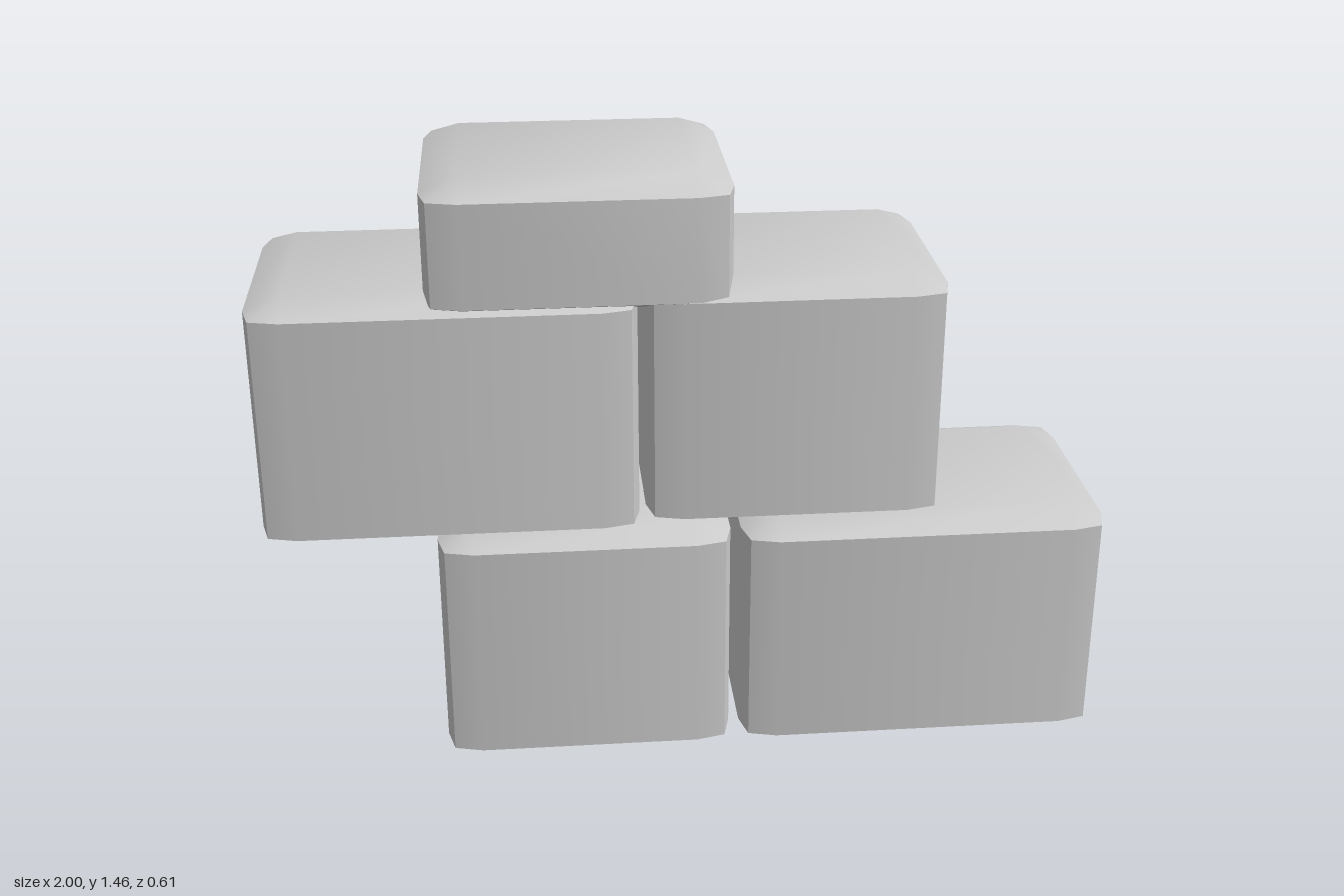
import * as THREE from 'three';
import { ConvexGeometry } from 'three/addons/geometries/ConvexGeometry.js';
import { toCreasedNormals } from 'three/addons/utils/BufferGeometryUtils.js';

const INSET = 0.085;  // width of the soft margin around each face
const DROP = 0.036;   // how far the top and bottom rims sit inside the full height
const CORNER = 0.017; // how far the vertical edges are pulled in

// A pillowy brick: flat faces whose margins slope gently to crisp edges
function brickGeometry(w, h, d) {
  const x = w / 2, y = h / 2, z = d / 2;
  const points = [];
  for (const sx of [-1, 1]) for (const sy of [-1, 1]) for (const sz of [-1, 1]) {
    const add = (px, py, pz) => points.push(new THREE.Vector3(sx * px, sy * py, sz * pz));
    add(x - INSET, y, z - INSET);            // flat top or bottom
    add(x, y - DROP, z - INSET);             // rim, end face
    add(x - CORNER, y - DROP, z - CORNER);   // rim, vertical edge
    add(x - INSET, y - DROP, z);             // rim, front or back face
  }
  return toCreasedNormals(new ConvexGeometry(points), 0.7);
}

export function createModel() {
  const group = new THREE.Group();
  group.name = 'brickStack';
  const material = new THREE.MeshStandardMaterial({ color: 0xcccccc });

  // name, x from, x to, y from, y to
  const bricks = [
    ['lowerRightBrick', -0.6, 0.095, 0, 0.61],
    ['lowerLeftBrick', 0.12, 1, 0, 0.61],
    ['middleRightBrick', -1, -0.122, 0.595, 1.2],
    ['middleLeftBrick', -0.107, 0.588, 0.61, 1.216],
    ['topHalfBrick', -0.6, 0.095, 1.145, 1.46],
  ];
  for (const [name, x0, x1, y0, y1] of bricks) {
    const mesh = new THREE.Mesh(brickGeometry(x1 - x0, y1 - y0, 0.606), material);
    mesh.name = name;
    mesh.position.set((x0 + x1) / 2, (y0 + y1) / 2, 0);
    group.add(mesh);
  }
  return group;
}
